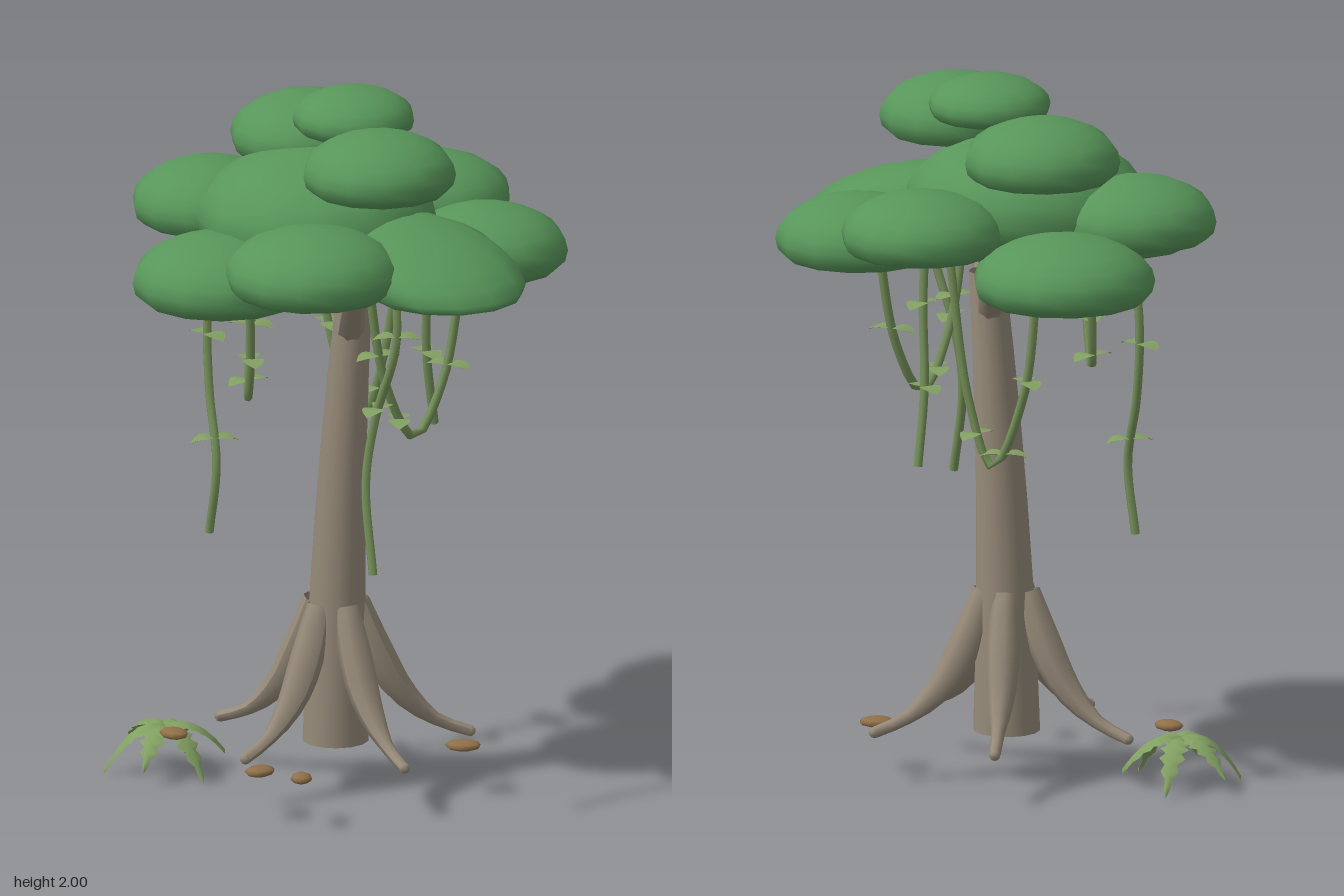
import * as THREE from 'three';
import { mergeVertices } from 'three/addons/utils/BufferGeometryUtils.js';

const mat = (name, color, double) => {
  const m = new THREE.MeshStandardMaterial({ color });
  m.name = name;
  if (double) m.side = THREE.DoubleSide;
  return m;
};
const V = (p) => new THREE.Vector3(...p);

export function createModel() {
  const tree = new THREE.Group();
  tree.name = 'jungleTree';
  const foliage = mat('foliage green', 0x58965a);
  const bark = mat('bark', 0x968a79, true);
  const vineGreen = mat('vine green', 0x76925a, true);
  const leafGreen = mat('leaf green', 0x82a062, true);
  const stone = mat('brown stone', 0x8f7048);

  const add = (name, geo, material, parent = tree) => {
    const m = new THREE.Mesh(geo, material);
    m.name = name;
    parent.add(m);
    return m;
  };

  // Tube along a smooth path whose radius is given by radiusAt(t)
  const taperedTube = (points, radiusAt, segments, sides) => {
    const curve = new THREE.CatmullRomCurve3(points.map(V));
    const geo = new THREE.TubeGeometry(curve, segments, 1, sides);
    const pos = geo.attributes.position, v = new THREE.Vector3();
    for (let i = 0; i < pos.count; i++) {
      const t = Math.floor(i / (sides + 1)) / segments;
      const c = curve.getPointAt(t);
      v.fromBufferAttribute(pos, i).sub(c).multiplyScalar(radiusAt(t)).add(c);
      pos.setXYZ(i, v.x, v.y, v.z);
    }
    geo.computeVertexNormals();
    return geo;
  };

  // Canopy: squashed spheres with flat undersides as [x, z, radius, bottom, top, lean]
  const canopy = new THREE.Group();
  canopy.name = 'canopy';
  tree.add(canopy);
  const floor = 0.42;
  [
    [-0.045, 0.025, 0.335, 1.56, 1.83, 0],
    [-0.42, -0.2, 0.253, 1.46, 1.64, 0],
    [-0.375, 0.13, 0.222, 1.57, 1.745, 0],
    [-0.05, 0.367, 0.247, 1.46, 1.645, 0],
    [0.252, 0.29, 0.244, 1.535, 1.715, 0],
    [0.397, -0.025, 0.24, 1.515, 1.695, 1.1],
    [0.25, -0.33, 0.232, 1.49, 1.665, 0],
    [-0.055, -0.39, 0.225, 1.565, 1.735, 0],
    [-0.235, -0.1, 0.217, 1.755, 1.925, 0],
    [0.245, 0.045, 0.213, 1.78, 1.945, 0],
    [0.01, -0.06, 0.17, 1.88, 2.0, 0],
  ].forEach(([x, z, r, bottom, top, lean], i) => {
    const h = (top - bottom) / (1 + floor);
    let geo = new THREE.SphereGeometry(1, 13, 12).rotateY(i * 1.3);
    geo.deleteAttribute('uv');
    geo.deleteAttribute('normal');
    const pos = geo.attributes.position;
    for (let k = 0; k < pos.count; k++) {
      const y = Math.max(pos.getY(k), -floor) * h;
      pos.setXYZ(k, pos.getX(k) * r - lean * y, y, pos.getZ(k) * r);
    }
    geo = mergeVertices(geo);
    geo.computeVertexNormals();
    add('leafDome', geo, foliage, canopy).position.set(x, bottom + floor * h, z);
  });

  // Gently leaning trunk
  const trunk = new THREE.CylinderGeometry(0.05, 0.093, 1.3, 14, 6, true);
  const tp = trunk.attributes.position;
  for (let i = 0; i < tp.count; i++) {
    const t = (tp.getY(i) + 0.65) / 1.3;
    tp.setX(i, tp.getX(i) + 0.055 * t * t);
    tp.setZ(i, tp.getZ(i) - 0.022 * t * t);
  }
  trunk.translate(-0.003, 0.78, -0.006);
  add('trunk', trunk, bark);

  // Two branches reaching up into the canopy
  [[-0.18, 1.54, -0.26], [0.25, 1.57, 0.11]].forEach((end) => {
    const mid = [0.045 + (end[0] - 0.045) * 0.5, 1.435, end[2] * 0.5];
    add('branch', taperedTube([[0.045, 1.31, -0.02], mid, end], (t) => 0.042 - 0.016 * t, 6, 8), bark);
  });

  // Spreading roots
  [[0.36, 0.05], [0.2, -0.32], [-0.22, -0.27], [-0.35, 0.12], [0.01, 0.33]].forEach(([x, z]) => {
    const path = [[0.17, 0.53], [0.27, 0.42], [0.47, 0.275], [0.74, 0.18], [1, 0.14]]
      .map(([k, y]) => [x * k, y, z * k]);
    add('root', taperedTube(path, (t) => 0.026 + 0.024 * Math.sin(Math.PI * Math.min(1, t * 1.1 + 0.1)) - 0.01 * t, 10, 8), bark);
    const tip = add('rootTip', new THREE.SphereGeometry(0.016, 8, 5), bark);
    tip.position.set(x, 0.14, z);
  });

  // Broad drooping leaf, pointing along +x
  const leafGeo = () => {
    const s = new THREE.Shape();
    s.moveTo(0, 0);
    s.bezierCurveTo(0.015, 0.045, 0.045, 0.04, 0.07, 0);
    s.bezierCurveTo(0.045, -0.04, 0.015, -0.045, 0, 0);
    const g = new THREE.ShapeGeometry(s, 5).rotateX(-Math.PI / 2);
    const p = g.attributes.position;
    for (let i = 0; i < p.count; i++) {
      const x = p.getX(i);
      p.setY(i, 0.5 * x - 9 * x * x);
    }
    g.computeVertexNormals();
    return g;
  };

  // Hanging vines and vine loops: path, then where the leaf pairs sit
  [
    [[[-0.3, 1.6, 0.17], [-0.345, 1.32, 0.17], [-0.325, 1.1, 0.18], [-0.27, 0.9, 0.2], [-0.295, 0.7, 0.205]], [0.38, 0.7]],
    [[[0.44, 1.6, 0.15], [0.455, 1.4, 0.16], [0.39, 1.18, 0.18], [0.385, 1.0, 0.21], [0.44, 0.75, 0.23]], [0.2, 0.46]],
    [[[-0.01, 1.6, -0.33], [-0.01, 1.4, -0.34], [-0.035, 1.17, -0.36], [-0.05, 0.955, -0.4]], [0.3, 0.66]],
    [[[-0.35, 1.55, -0.23], [-0.31, 1.18, -0.245], [-0.215, 0.96, -0.275], [-0.15, 1.14, -0.3], [-0.1, 1.57, -0.33]], [0.27, 0.45, 0.58]],
    [[[-0.175, 1.57, 0.14], [-0.15, 1.28, 0.18], [-0.1, 1.135, 0.23], [-0.045, 1.27, 0.265], [0, 1.52, 0.31]], [0.28, 0.46, 0.7]],
    [[[0.255, 1.58, 0.1], [0.262, 1.22, 0.035], [0.272, 1.055, -0.06], [0.285, 1.2, -0.15], [0.295, 1.55, -0.22]], [0.25, 0.44, 0.72]],
  ].forEach(([points, leaves], i) => {
    const vine = new THREE.Group();
    vine.name = 'vine';
    tree.add(vine);
    const curve = new THREE.CatmullRomCurve3(points.map(V));
    add('vineStem', new THREE.TubeGeometry(curve, 24, 0.0125, 6), vineGreen, vine);
    leaves.forEach((t, j) => {
      for (const side of [0, Math.PI]) {
        const leaf = add('vineLeaf', leafGeo(), leafGreen, vine);
        leaf.position.copy(curve.getPointAt(t));
        leaf.rotation.y = side + i * 0.9 + j * 1.1;
      }
    });
  });

  // Fern of arching, saw-edged fronds
  const fern = new THREE.Group();
  fern.name = 'fern';
  fern.position.set(-0.41, 0, 0.27);
  tree.add(fern);
  const rows = 12;
  for (let f = 0; f < 6; f++) {
    const g = new THREE.PlaneGeometry(2, 1, 2, rows);
    const p = g.attributes.position;
    const droop = 0.15 + 0.04 * ((f + 1) % 2);
    for (let i = 0; i < p.count; i++) {
      const row = Math.floor(i / 3), t = row / rows;
      const w = 0.042 * Math.sin(Math.PI * (0.15 + 0.85 * t)) * (row % 2 ? 1 : 0.55);
      const s = p.getX(i);
      p.setXYZ(i, 0.17 * t, 0.13 + 0.07 * t - droop * t * t - 0.014 * Math.abs(s), -s * w);
    }
    g.computeVertexNormals();
    add('frond', g, leafGreen, fern).rotation.y = f * Math.PI / 3;
  }

  // Flat stones around the base
  [[-0.31, 0.32, 0.045], [0.29, -0.22, 0.05], [0.12, 0.37, 0.046], [0.245, 0.325, 0.038]].forEach(([x, z, r], i) => {
    const pebble = add('stone', new THREE.SphereGeometry(1, 9, 6).scale(r, 0.015, r * 0.8), stone);
    pebble.position.set(x, 0.138, z);
    pebble.rotation.y = i * 0.8;
  });

  return tree;
}
